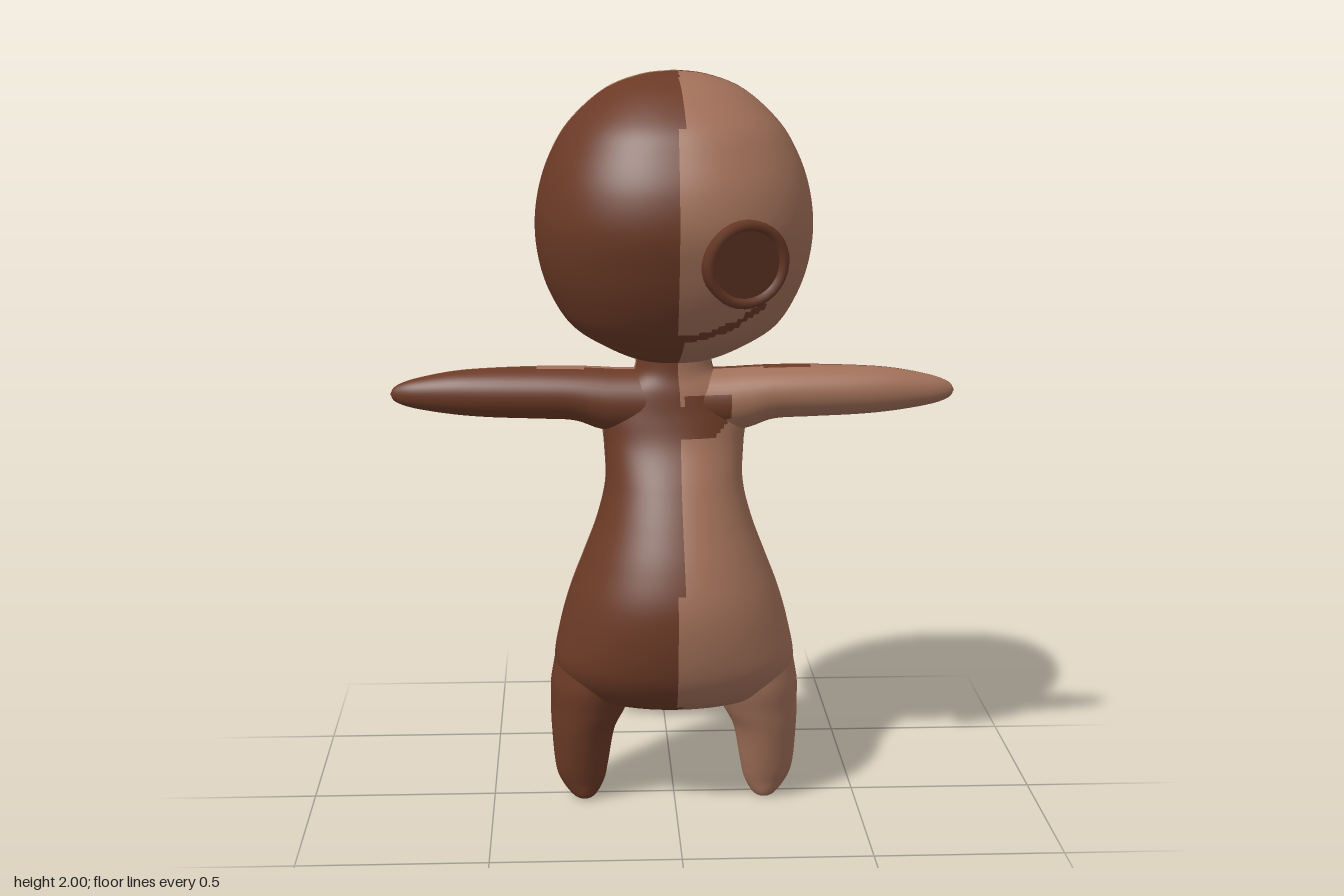
import * as THREE from 'three';

const mat = (name, color) => {
  const m = new THREE.MeshStandardMaterial({ color });
  m.name = name;
  return m;
};

// Patchwork rule: opposite quarters share a colour, plus a few odd patches
function isDark(x, y, z) {
  if (z > 0.02) {
    // smile
    if (x > 0 && x < 0.225 && Math.abs(y - 1.322 - 1.8 * x * x) < 0.011) return true;
    // chest patch
    if (x > 0.02 && y > 1.03 && y < 1.14 && x < Math.min(0.155, 0.1 + (y - 1.03))) return true;
  }
  // seat patch
  if (z < -0.1 && y < 0.7 && ((x - 0.18) / 0.13) ** 2 + ((y - 0.43) / 0.145) ** 2 < 1) return false;
  const seamZ = Math.abs(x) > 0.37 ? -0.015 : 0.01;
  return (x - 0.01) * (z - seamZ) < 0;
}

// Closed skin through oval sections. Each key is [along, aMin, aMax, bMin, bMax];
// axis 'y' uses a = x, b = z; axis 'x' uses a = z, b = y.
function loft(name, materials, axis, keys, rows, sides, power = 2) {
  const curve = (f) => new THREE.CatmullRomCurve3(keys.map(f), false, 'catmullrom', 0.5);
  const first = curve((k) => new THREE.Vector3(k[0], k[1], k[2]));
  const second = curve((k) => new THREE.Vector3(k[3], k[4], 0));
  const soft = (v) => Math.sign(v) * Math.abs(v) ** (2 / power);
  const pos = [];
  for (let i = 0; i <= rows; i++) {
    const p = first.getPoint(i / rows), q = second.getPoint(i / rows);
    for (let j = 0; j < sides; j++) {
      const th = (j / sides) * Math.PI * 2;
      const a = (p.y + p.z) / 2 + ((p.z - p.y) / 2) * soft(Math.sin(th));
      const b = (q.x + q.y) / 2 + ((q.y - q.x) / 2) * soft(Math.cos(th));
      if (axis === 'y') pos.push(a, p.x, b);
      else pos.push(p.x, b, a);
    }
  }
  const faces = [[], []];
  for (let i = 0; i < rows; i++) {
    for (let j = 0; j < sides; j++) {
      const k = (j + 1) % sides;
      const c = [i * sides + j, i * sides + k, (i + 1) * sides + k, (i + 1) * sides + j];
      const mid = [0, 1, 2].map((n) => c.reduce((s, v) => s + pos[v * 3 + n], 0) / 4);
      faces[isDark(...mid) ? 1 : 0].push(c[0], c[1], c[2], c[0], c[2], c[3]);
    }
  }
  const geo = new THREE.BufferGeometry();
  geo.setAttribute('position', new THREE.Float32BufferAttribute(pos, 3));
  geo.setIndex(faces[0].concat(faces[1]));
  geo.addGroup(0, faces[0].length, 0);
  geo.addGroup(faces[0].length, faces[1].length, 1);
  geo.computeVertexNormals();
  const mesh = new THREE.Mesh(geo, materials);
  mesh.name = name;
  return mesh;
}

export function createModel() {
  const group = new THREE.Group();
  group.name = 'ragDoll';
  const cloth = [mat('light brown cloth', 0xa06f58), mat('dark brown cloth', 0x6b3a26)];
  const rimMat = mat('button rim', 0x643624);
  const faceMat = mat('button centre', 0x593021);

  // Head
  group.add(loft('head', cloth, 'y', [
    [1.22, 0, 0, 0, 0],
    [1.235, -0.1, 0.1, -0.09, 0.09],
    [1.275, -0.19, 0.19, -0.17, 0.18],
    [1.33, -0.275, 0.275, -0.25, 0.245],
    [1.41, -0.33, 0.33, -0.355, 0.3],
    [1.5, -0.36, 0.36, -0.378, 0.34],
    [1.6, -0.37, 0.37, -0.39, 0.368],
    [1.7, -0.357, 0.357, -0.376, 0.36],
    [1.79, -0.325, 0.325, -0.34, 0.325],
    [1.87, -0.275, 0.275, -0.29, 0.275],
    [1.95, -0.185, 0.185, -0.19, 0.175],
    [1.988, -0.09, 0.09, -0.1, 0.08],
    [2, 0, 0, -0.01, -0.01],
  ], 110, 120, 2.25));

  // Torso and neck
  group.add(loft('torso', cloth, 'y', [
    [0.265, 0, 0, 0, 0],
    [0.27, -0.14, 0.14, -0.09, 0.09],
    [0.295, -0.24, 0.24, -0.145, 0.16],
    [0.33, -0.295, 0.295, -0.2, 0.22],
    [0.4, -0.328, 0.328, -0.24, 0.268],
    [0.5, -0.313, 0.313, -0.28, 0.293],
    [0.6, -0.285, 0.285, -0.28, 0.295],
    [0.7, -0.247, 0.247, -0.247, 0.268],
    [0.8, -0.21, 0.21, -0.203, 0.225],
    [0.9, -0.187, 0.187, -0.17, 0.175],
    [1, -0.19, 0.19, -0.145, 0.122],
    [1.08, -0.195, 0.195, -0.12, 0.1],
    [1.15, -0.165, 0.165, -0.105, 0.09],
    [1.2, -0.11, 0.11, -0.1, 0.08],
    [1.26, -0.1, 0.1, -0.1, 0.08],
  ], 100, 96, 2.1));

  // Both arms in one skin, running through the shoulders
  const arm = [
    [0.12, -0.1, 0.085, 1.03, 1.205],
    [0.2, -0.1, 0.082, 1.04, 1.208],
    [0.27, -0.1, 0.076, 1.063, 1.21],
    [0.37, -0.095, 0.07, 1.068, 1.21],
    [0.5, -0.085, 0.06, 1.073, 1.206],
    [0.6, -0.07, 0.046, 1.082, 1.198],
    [0.7, -0.05, 0.022, 1.098, 1.178],
    [0.75, -0.033, 0, 1.115, 1.158],
    [0.765, -0.016, -0.016, 1.136, 1.136],
  ];
  const otherArm = arm.map(([x, ...rest]) => [-x, ...rest]).reverse();
  group.add(loft('arms', cloth, 'x', [...otherArm, ...arm], 136, 40));

  // Legs
  const leg = [
    [0, 0.25, 0.25, 0.025, 0.025],
    [0.006, 0.22, 0.28, -0.02, 0.065],
    [0.05, 0.195, 0.314, -0.035, 0.082],
    [0.1, 0.184, 0.33, -0.052, 0.1],
    [0.2, 0.165, 0.339, -0.1, 0.13],
    [0.27, 0.13, 0.341, -0.13, 0.15],
    [0.36, 0.1, 0.337, -0.15, 0.17],
    [0.48, 0.1, 0.3, -0.14, 0.15],
    [0.52, 0.2, 0.2, 0, 0],
  ];
  group.add(loft('leftLeg', cloth, 'y', leg, 56, 48));
  group.add(loft('rightLeg', cloth, 'y', leg.map(([y, a, b, c, d]) => [y, -b, -a, c, d]), 56, 48));

  // Button eye: raised rim around a sunken disc
  const eye = new THREE.Group();
  eye.name = 'buttonEye';
  const profile = [[0.11, -0.04], [0.115, 0.012], [0.108, 0.02], [0.094, 0.02], [0.088, 0.008]];
  const rim = new THREE.Mesh(
    new THREE.LatheGeometry(profile.map(([r, y]) => new THREE.Vector2(r, y)), 32), rimMat);
  rim.name = 'buttonRim';
  const disc = new THREE.Mesh(new THREE.CylinderGeometry(0.09, 0.09, 0.04, 32), faceMat);
  disc.name = 'buttonCentre';
  disc.position.y = -0.011;
  eye.add(rim, disc);
  eye.rotation.set(Math.PI / 2 + 0.12, 0, -0.33);
  eye.rotation.order = 'ZYX';
  eye.quaternion.setFromEuler(new THREE.Euler(Math.PI / 2 + 0.12, 0.33, 0, 'YXZ'));
  eye.position.set(0.168, 1.53, 0.335);
  group.add(eye);

  return group;
}
